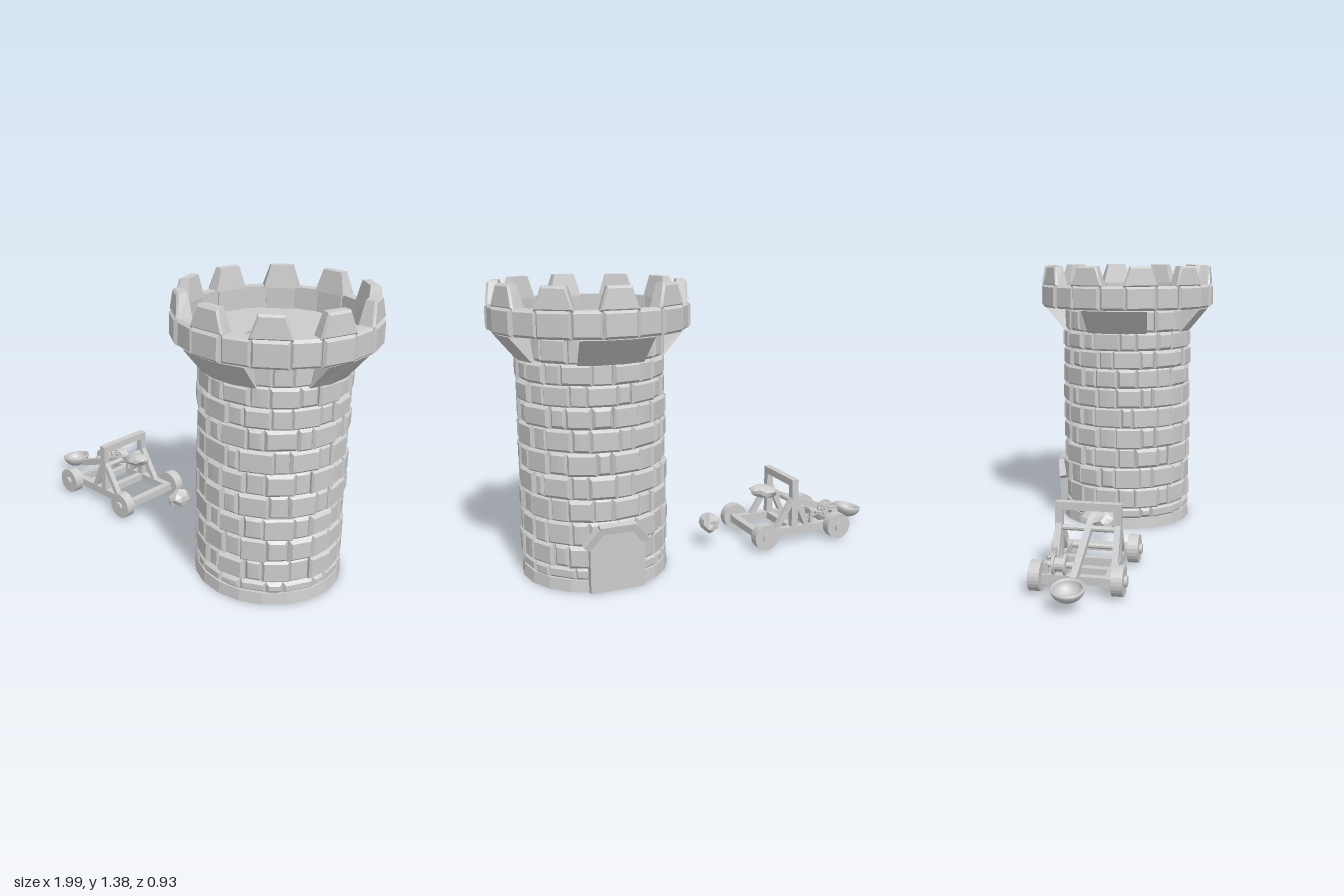
import * as THREE from 'three';

const mat = new THREE.MeshStandardMaterial({ color: 0xcccccc, flatShading: true });
const smooth = new THREE.MeshStandardMaterial({ color: 0xcccccc, side: THREE.DoubleSide });

let seed = 7;
const rand = () => (seed = (seed * 16807) % 2147483647) / 2147483647;

function add(parent, name, geometry, x = 0, y = 0, z = 0, material = mat) {
  const m = new THREE.Mesh(geometry, material);
  m.name = name;
  m.position.set(x, y, z);
  parent.add(m);
  return m;
}

// Curved block around the y axis with a chamfered outer face; taper narrows its top
function arcBlock(a, sweep, y0, y1, r0, r1, bevel, taper = 0, n = 1) {
  const g = new THREE.BoxGeometry(1, 1, 1, n, 1, 2), p = g.attributes.position;
  const h = y1 - y0;
  for (let i = 0; i < p.count; i++) {
    let x = p.getX(i), y = p.getY(i);
    const z = p.getZ(i), up = y + 0.5;
    let r = z < -0.1 ? r0 : z < 0.1 ? r1 - bevel : r1;
    if (z > 0.1) {
      x *= 1 - 2 * bevel / (sweep * r1);
      y *= 1 - 2 * bevel / h;
    }
    if (taper) r += (z < 0 ? 0.012 : -0.012) * up;
    const t = a + x * sweep * (1 - taper * up);
    p.setXYZ(i, Math.sin(t) * r, y0 + (y + 0.5) * h, Math.cos(t) * r);
  }
  g.computeVertexNormals();
  return g;
}

// Box between two points of one upright plane
function beam(parent, name, x0, y0, x1, y1, z, thick, depth) {
  const m = add(parent, name, new THREE.BoxGeometry(Math.hypot(x1 - x0, y1 - y0), thick, depth), (x0 + x1) / 2, (y0 + y1) / 2, z);
  m.rotation.z = Math.atan2(y1 - y0, x1 - x0);
  return m;
}

// Rough faceted boulder
function boulder(sx, sy, sz, phase) {
  const g = new THREE.IcosahedronGeometry(1, 1), p = g.attributes.position, v = new THREE.Vector3();
  for (let i = 0; i < p.count; i++) {
    v.fromBufferAttribute(p, i);
    const k = 0.95 + 0.16 * Math.sin(v.x * 5 + phase) * Math.cos(v.y * 4 + v.z * 6 + phase);
    p.setXYZ(i, v.x * k * sx, v.y * k * sy, v.z * k * sz);
  }
  g.computeVertexNormals();
  return g;
}

function createTower() {
  const tower = new THREE.Group();
  tower.name = 'tower';
  tower.position.x = 0.53;
  const step = Math.PI / 10;

  add(tower, 'wallCore', new THREE.CylinderGeometry(0.326, 0.326, 1.15, 20), 0, 0.58);
  add(tower, 'footing', new THREE.CylinderGeometry(0.345, 0.352, 0.055, 20), 0, 0.0275);

  // Stone courses: broad, shallow blocks alternate with narrow, proud ones
  const rows = [0.055, 0.108, 0.215, 0.325, 0.43, 0.54, 0.645, 0.75, 0.85, 0.945, 1.04, 1.155];
  const stones = new THREE.Group();
  stones.name = 'wallStones';
  tower.add(stones);
  for (let j = 0; j < rows.length - 1; j++) {
    const bounds = [];
    for (let i = 0; i < 20; i++) bounds.push((i + (i % 2 === j % 2 ? 0.16 : -0.1) + (rand() - 0.5) * 0.22) * step);
    bounds.push(bounds[0] + Math.PI * 2);
    for (let i = 0; i < 20; i++) {
      const a = (bounds[i] + bounds[i + 1]) / 2, sweep = bounds[i + 1] - bounds[i];
      const proud = i % 2 !== j % 2;
      const r = (proud ? 0.342 : 0.336) + rand() * 0.012;
      add(stones, 'wallStone', arcBlock(a, sweep, rows[j], rows[j + 1], 0.31, r, 0.008 + rand() * 0.009, 0, proud ? 1 : 2));
    }
  }

  // Four flaring corbels under the parapet
  for (let k = 0; k < 4; k++) {
    const g = new THREE.BoxGeometry(1, 1, 1, 3, 1, 1), p = g.attributes.position;
    for (let i = 0; i < p.count; i++) {
      const t = k * Math.PI / 2 + p.getX(i) * (p.getY(i) > 0 ? 0.78 : 0.92);
      const r = p.getZ(i) < 0 ? 0.3 : p.getY(i) < 0 ? 0.347 : 0.445;
      p.setXYZ(i, Math.sin(t) * r, p.getY(i) < 0 ? 1.035 : 1.155, Math.cos(t) * r);
    }
    g.computeVertexNormals();
    add(tower, 'corbel', g);
  }

  // Roof deck, parapet ring and merlons
  add(tower, 'roofDeck', new THREE.CylinderGeometry(0.44, 0.44, 0.015, 20), 0, 1.168);
  for (let i = 0; i < 20; i++) {
    const r = i % 2 ? 0.46 : 0.468;
    add(tower, 'parapetStone', arcBlock(i * step, step * (i % 2 ? 0.92 : 1.08), 1.16, 1.28, i % 2 ? 0.4 : 0.392, r, 0.012));
  }
  for (let i = 0; i < 10; i++)
    add(tower, 'merlon', arcBlock(i * step * 2, 0.4, 1.275, 1.38, 0.392, 0.464, 0.01, 0.38));

  const hatch = add(tower, 'roofHatch', new THREE.BoxGeometry(0.23, 0.012, 0.285), -0.185, 1.181, 0.085);
  hatch.rotation.y = 0.09;

  // Door at the back with a sloping, clipped stone hood
  const shape = new THREE.Shape();
  shape.moveTo(-0.13, 0);
  shape.lineTo(0.13, 0);
  shape.lineTo(0.13, 0.21);
  shape.lineTo(0.08, 0.275);
  shape.lineTo(-0.08, 0.275);
  shape.lineTo(-0.13, 0.21);
  add(tower, 'door', new THREE.ExtrudeGeometry(shape, { depth: 0.06, bevelEnabled: false }), 0, 0.002, -0.352);
  const hood = new THREE.Group();
  hood.name = 'doorHood';
  hood.position.set(0, 0.21, -0.33);
  hood.rotation.x = -0.2;
  tower.add(hood);
  beam(hood, 'hoodLintel', -0.085, 0.09, 0.085, 0.09, 0, 0.035, 0.04);
  for (const s of [-1, 1]) beam(hood, 'hoodSide', s * 0.142, 0.005, s * 0.08, 0.088, 0, 0.035, 0.04);
  return tower;
}

function createCatapult() {
  const cat = new THREE.Group();
  cat.name = 'catapult';
  const box = (name, x, y, z, w, h, d) => add(cat, name, new THREE.BoxGeometry(w, h, d), x, y, z);
  const rod = (name, x, y, z, r, len, n = 20) => {
    const m = add(cat, name, new THREE.CylinderGeometry(r, r, len, n), x, y, z);
    m.rotation.x = Math.PI / 2;
    return m;
  };

  // Chassis, wheels and braced uprights
  for (const s of [-1, 1]) {
    const z = s * 0.135;
    box('sideRail', -0.53, 0.068, z, 0.49, 0.04, 0.034);
    for (const x of [-0.742, -0.316]) {
      rod('wheel', x, 0.072, s * 0.18, 0.067, 0.05, 24);
      rod('hub', x, 0.072, s * 0.19, 0.024, 0.056, 12);
    }
    box('upright', -0.505, 0.21, z, 0.036, 0.26, 0.034);
    beam(cat, 'brace', -0.585, 0.075, -0.51, 0.24, z, 0.026, 0.028);
    beam(cat, 'brace', -0.395, 0.075, -0.5, 0.24, z, 0.026, 0.028);
  }
  for (const x of [-0.747, -0.64, -0.505, -0.3]) box('crossBeam', x, 0.068, 0, 0.034, 0.036, 0.27);
  for (const x of [-0.742, -0.316]) rod('axle', x, 0.072, 0, 0.014, 0.4, 10);
  box('topBar', -0.505, 0.322, 0, 0.036, 0.036, 0.3);
  rod('pivot', -0.505, 0.218, 0, 0.014, 0.27, 10);

  // Throwing arm, spoon and counterweight
  beam(cat, 'throwingArm', -0.86, 0.078, -0.36, 0.27, 0, 0.034, 0.03);
  const profile = [];
  for (let i = 0; i <= 8; i++) profile.push([0.074 * Math.sin(i * Math.PI / 16), -0.062 * Math.cos(i * Math.PI / 16)]);
  for (let i = 8; i >= 0; i--) profile.push([0.062 * Math.sin(i * Math.PI / 16), -0.05 * Math.cos(i * Math.PI / 16)]);
  const bowl = add(cat, 'spoonBowl', new THREE.LatheGeometry(profile.map(q => new THREE.Vector2(...q)), 24), -0.928, 0.102, 0, smooth);
  bowl.rotation.z = 0.2;
  const weight = add(cat, 'counterweight', boulder(0.085, 0.036, 0.052, 1), -0.4, 0.25, 0);
  weight.rotation.z = 0.22;

  // Winch drum and chain
  rod('winchDrum', -0.75, 0.13, -0.075, 0.03, 0.055, 16);
  for (const z of [-0.1, -0.05]) rod('winchFlange', -0.75, 0.13, z, 0.044, 0.01, 20);
  rod('winchShaft', -0.75, 0.13, -0.075, 0.014, 0.13, 10);
  box('winchSupport', -0.75, 0.11, -0.135, 0.026, 0.06, 0.02);
  for (let i = 0; i < 9; i++) {
    const link = add(cat, 'chainLink', new THREE.TorusGeometry(0.012, 0.0035, 5, 10), -0.75 + i * 0.018, 0.165 - i * 0.005, -0.125);
    link.rotation.x = i % 2 ? Math.PI / 2 : 0;
  }
  box('ratchetPost', -0.615, 0.12, -0.13, 0.018, 0.08, 0.018);
  return cat;
}

export function createModel() {
  const model = new THREE.Group();
  model.name = 'siegeScene';
  model.add(createTower(), createCatapult());
  add(model, 'looseBoulder', boulder(0.054, 0.053, 0.066, 2.4), -0.083, 0.124, -0.01);
  return model;
}
